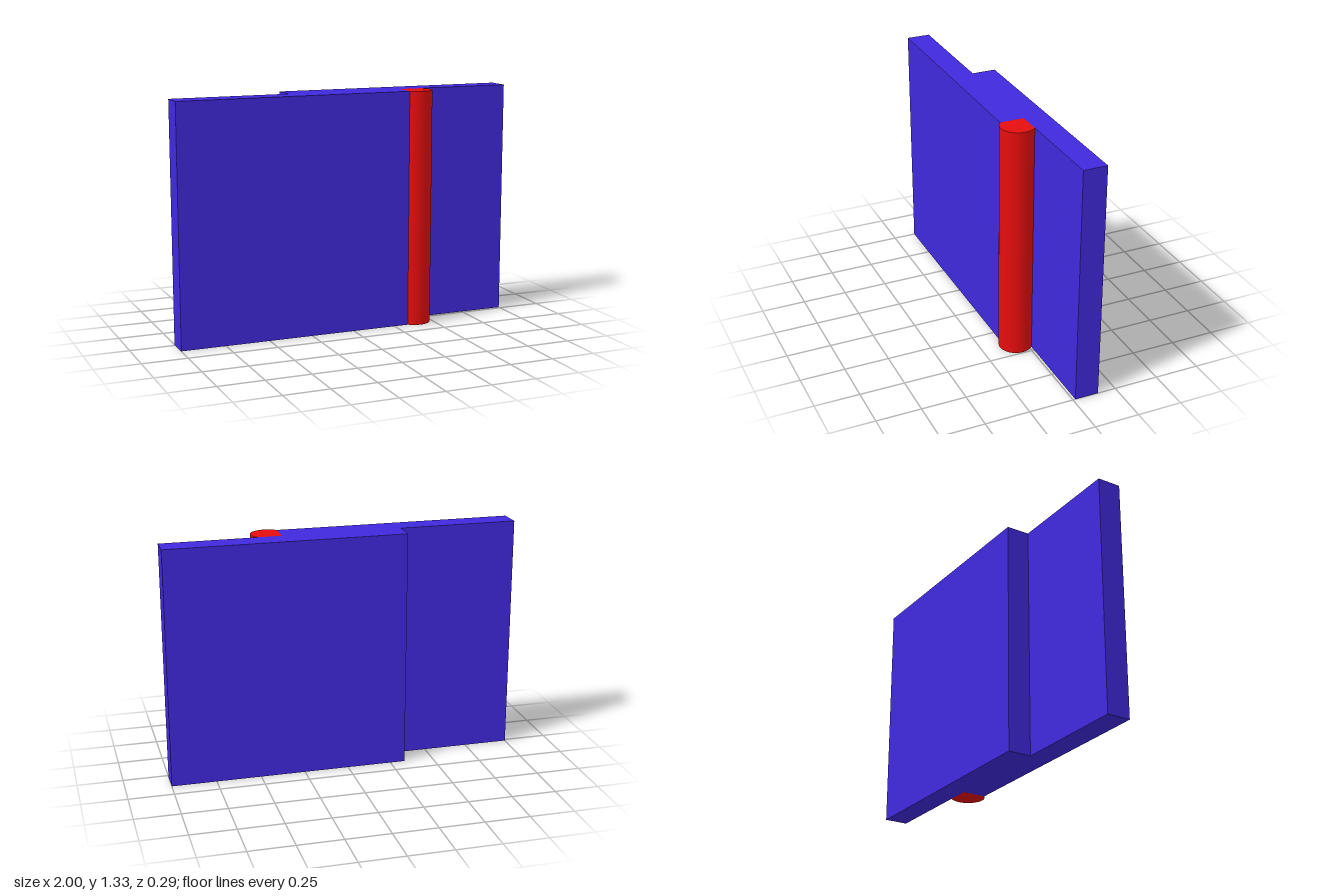
import * as THREE from 'three';
import { toCreasedNormals } from 'three/addons/utils/BufferGeometryUtils.js';

const SIZE = 4 / 3;            // panel width and height
const THICK = SIZE / 10;       // panel thickness
const RADIUS = THICK / Math.SQRT2;
const SEAM = -(RADIUS - THICK / 2) / 2 + 0 - 0.0001; // plane where the panels meet

export function createModel() {
  const group = new THREE.Group();
  const blue = new THREE.MeshStandardMaterial({ color: 0x4029dd });
  const red = new THREE.MeshStandardMaterial({ color: 0xe60d0d });

  // Two overlapping square panels, offset sideways and in depth
  function addPanel(name, x, z) {
    const panel = new THREE.Mesh(new THREE.BoxGeometry(SIZE, SIZE, THICK), blue);
    panel.name = name;
    panel.position.set(x, SIZE / 2, z);
    group.add(panel);
  }
  addPanel('frontPanel', -1 / 3, SEAM + THICK / 2);
  addPanel('backPanel', 1 / 3, SEAM - THICK / 2);

  // Round post fitted into the corner between the panels
  const cornerX = 1 / 3;
  const profile = new THREE.Shape();
  profile.moveTo(cornerX, -SEAM);
  profile.lineTo(cornerX, -SEAM - THICK);
  profile.absarc(cornerX + THICK / 2, -SEAM - THICK / 2, RADIUS, -0.75 * Math.PI, 0.25 * Math.PI, false);
  profile.closePath();
  const postGeometry = new THREE.ExtrudeGeometry(profile, {
    depth: SIZE, bevelEnabled: false, curveSegments: 32,
  });
  postGeometry.rotateX(-Math.PI / 2);
  const post = new THREE.Mesh(toCreasedNormals(postGeometry, Math.PI / 6), red);
  post.name = 'post';
  group.add(post);

  return group;
}
